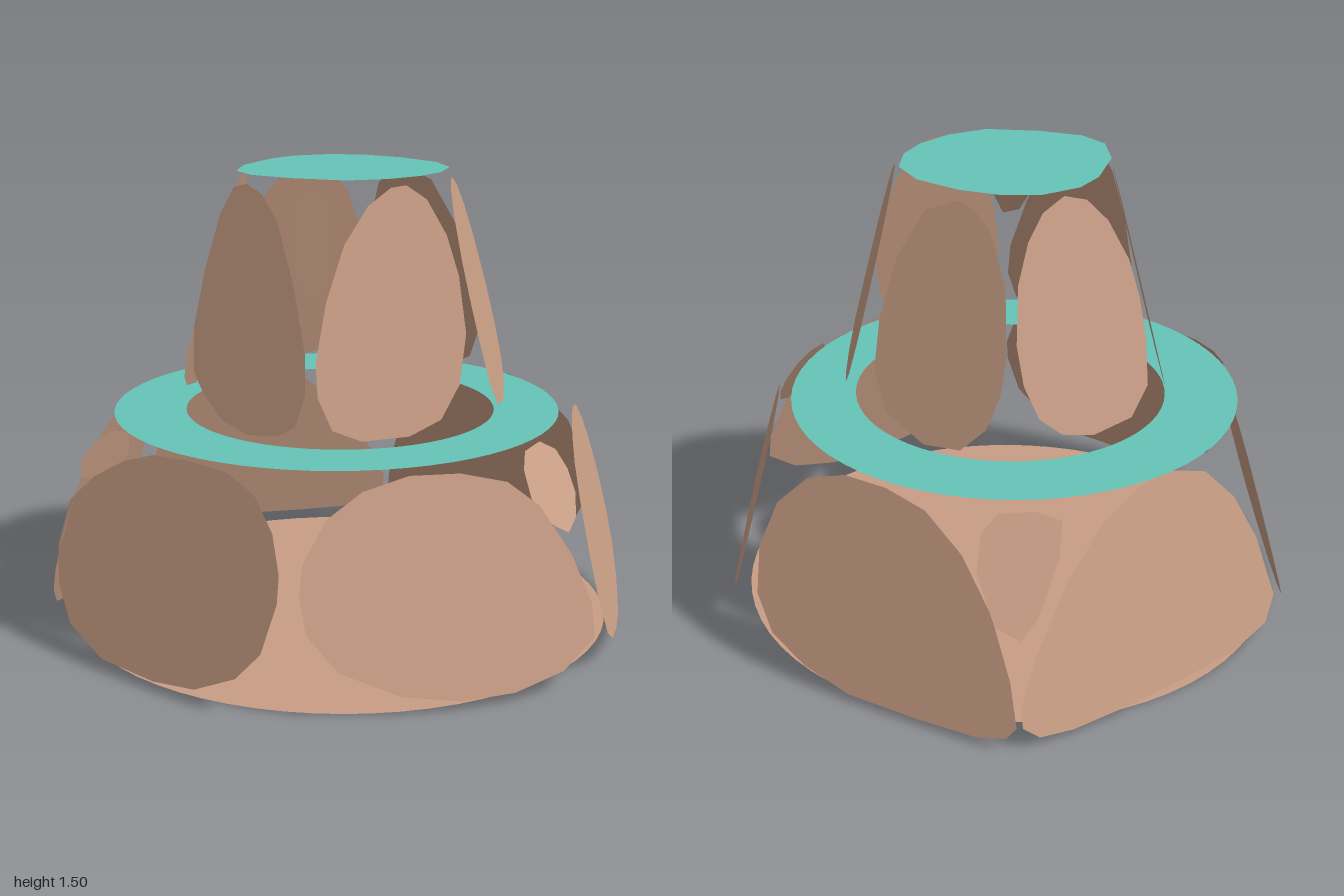
import * as THREE from 'three';

const tan = new THREE.MeshStandardMaterial({ color: 0xc99e85, side: THREE.DoubleSide });
const teal = new THREE.MeshStandardMaterial({ color: 0x66c5b8, side: THREE.DoubleSide });

const toPoints = (list) => {
  const points = [];
  for (let i = 0; i < list.length; i += 2) points.push(new THREE.Vector2(list[i], list[i + 1]));
  return points;
};

// Flat leaning sheet on the plane nx*x + nz*z = foot - lean*y.
// The outline gives (x, y) pairs when axis is 'x', (z, y) pairs when axis is 'z'.
function sheet(name, axis, [nx, nz], foot, lean, outline) {
  const geometry = new THREE.ShapeGeometry(new THREE.Shape(toPoints(outline)));
  const pos = geometry.attributes.position;
  for (let i = 0; i < pos.count; i++) {
    const u = pos.getX(i), y = pos.getY(i), reach = foot - lean * y;
    if (axis === 'x') pos.setXYZ(i, u, y, (reach - nx * u) / nz);
    else pos.setXYZ(i, (reach - nz * u) / nx, y, u);
  }
  // keep the face turned outward
  if (axis === 'x' ? nz < 0 : nx > 0) geometry.index.array.reverse();
  geometry.computeVertexNormals();
  const mesh = new THREE.Mesh(geometry, tan);
  mesh.name = name;
  return mesh;
}

// Flat horizontal sheet, shape y becoming -z
function level(name, shape, y, material, up = true) {
  const geometry = new THREE.ShapeGeometry(shape, 32);
  geometry.rotateX(-Math.PI / 2);
  if (!up) {
    geometry.index.array.reverse();
    geometry.computeVertexNormals();
  }
  const mesh = new THREE.Mesh(geometry, material);
  mesh.name = name;
  mesh.position.y = y;
  return mesh;
}

const ellipse = (kind, cx, rx, rz) => new kind().absellipse(cx, 0, rx, rz, 0, Math.PI * 2, false);
const mirrored = (list) => list.map((v, i) => (i % 2 ? v : -v));

// Six directions of the rings
const C = Math.sqrt(3) / 2;
const DIR = {
  Front: [0, 1], Back: [0, -1],
  FrontLeft: [C, 0.5], FrontRight: [-C, 0.5],
  BackLeft: [C, -0.5], BackRight: [-C, -0.5],
};

const lower = {
  Front: [-0.5, 0.33, -0.48, 0.48, -0.39, 0.57, -0.27, 0.64, -0.15, 0.68, 0.01, 0.69, 0.16, 0.685, 0.28, 0.64,
    0.37, 0.55, 0.42, 0.44, 0.43, 0.36, 0.4, 0.21, 0.32, 0.12, 0.17, 0.05, 0, 0.03, -0.23, 0.04, -0.39, 0.11, -0.47, 0.22],
  Back: [-0.53, 0.09, -0.49, 0.22, -0.4, 0.4, -0.28, 0.55, -0.14, 0.65, 0, 0.685, 0.15, 0.69, 0.28, 0.65, 0.38, 0.55,
    0.43, 0.4, 0.42, 0.25, 0.35, 0.14, 0.22, 0.07, 0.05, 0.025, -0.2, 0.02, -0.4, 0.025, -0.5, 0.05],
  FrontLeft: [0.815, 0.28, 0.81, 0.39, 0.78, 0.48, 0.69, 0.595, 0.58, 0.66, 0.445, 0.69, 0.305, 0.68, 0.18, 0.64,
    0.105, 0.56, 0.045, 0.405, 0.02, 0.255, 0.035, 0.155, 0.145, 0.07, 0.295, 0.03, 0.445, 0.03, 0.605, 0.07, 0.755, 0.165],
  FrontRight: [0.855, 0.25, 0.845, 0.38, 0.8, 0.5, 0.72, 0.6, 0.6, 0.67, 0.45, 0.695, 0.3, 0.69, 0.17, 0.66, 0.1, 0.6,
    0.05, 0.47, 0.04, 0.33, 0.05, 0.2, 0.1, 0.12, 0.25, 0.06, 0.45, 0.03, 0.63, 0.045, 0.77, 0.09, 0.83, 0.16],
  BackLeft: [-0.02, 0.27, -0.05, 0.38, -0.1, 0.5, -0.2, 0.61, -0.3, 0.66, -0.41, 0.69, -0.51, 0.695, -0.61, 0.67,
    -0.7, 0.6, -0.77, 0.5, -0.81, 0.38, -0.81, 0.25, -0.76, 0.15, -0.63, 0.07, -0.46, 0.03, -0.3, 0.045, -0.15, 0.08, -0.05, 0.14],
  BackRight: [-0.03, 0.2, -0.04, 0.4, -0.08, 0.55, -0.15, 0.655, -0.25, 0.69, -0.36, 0.675, -0.5, 0.6, -0.65, 0.46,
    -0.8, 0.27, -0.88, 0.14, -0.89, 0.08, -0.85, 0.035, -0.75, 0.02, -0.6, 0.025, -0.4, 0.04, -0.2, 0.07, -0.08, 0.12],
};

const upperBackSide = [-0.025, 1, -0.015, 1.13, -0.02, 1.25, -0.055, 1.38, -0.105, 1.455, -0.17, 1.48, -0.245, 1.445,
  -0.31, 1.37, -0.37, 1.255, -0.42, 1.08, -0.43, 0.955, -0.41, 0.845, -0.355, 0.78, -0.26, 0.75, -0.13, 0.77, -0.055, 0.855];
const upper = {
  Front: [-0.25, 1.02, -0.24, 1.2, -0.21, 1.375, -0.17, 1.46, -0.12, 1.475, -0.05, 1.45, 0.03, 1.375, 0.13, 1.2,
    0.22, 1, 0.245, 0.88, 0.225, 0.785, 0.16, 0.745, 0.04, 0.73, -0.07, 0.755, -0.165, 0.82, -0.22, 0.88],
  Back: [-0.25, 1.05, -0.22, 1.25, -0.15, 1.4, -0.09, 1.455, -0.03, 1.475, 0.08, 1.43, 0.16, 1.28, 0.2, 1.08,
    0.2, 0.92, 0.14, 0.8, 0, 0.73, -0.13, 0.74, -0.21, 0.82, -0.245, 0.93],
  FrontLeft: [0.485, 0.88, 0.47, 0.98, 0.405, 1.155, 0.32, 1.32, 0.23, 1.43, 0.155, 1.48, 0.11, 1.485, 0.06, 1.44,
    0.025, 1.33, 0.015, 1.205, 0.03, 1.03, 0.08, 0.88, 0.155, 0.78, 0.255, 0.74, 0.39, 0.74, 0.465, 0.78],
  FrontRight: mirrored([-0.04, 0.86, -0.02, 1, -0.015, 1.23, -0.03, 1.38, -0.08, 1.45, -0.14, 1.475, -0.22, 1.45,
    -0.29, 1.36, -0.34, 1.25, -0.4, 1.04, -0.43, 0.92, -0.41, 0.83, -0.35, 0.78, -0.22, 0.75, -0.1, 0.785]),
  BackLeft: upperBackSide,
  BackRight: upperBackSide,
};

export function createModel() {
  const model = new THREE.Group();
  model.name = 'paneledTower';

  // Two tiers of leaning wall panels
  for (const [side, normal] of Object.entries(DIR)) {
    const axis = normal[0] === 0 ? 'x' : 'z';
    model.add(sheet('lowerPanel' + side, axis, normal, 0.935, 0.27, lower[side]));
    model.add(sheet('upperPanel' + side, axis, normal, 0.7125, 0.25, upper[side]));
  }

  // Small filler petals between the panels
  model.add(
    sheet('leftPetal', 'z', [1, 0], 1.158, 0.62, [0.09, 0.57, 0.065, 0.645, 0.02, 0.69, -0.07, 0.7, -0.13, 0.665,
      -0.145, 0.605, -0.13, 0.54, -0.08, 0.48, -0.01, 0.45, 0.055, 0.49]),
    sheet('frontRightPetal', 'x', [-0.19, 1], 1.296, 0.8, [-0.505, 0.59, -0.48, 0.65, -0.42, 0.69, -0.34, 0.7,
      -0.295, 0.655, -0.31, 0.59, -0.39, 0.56, -0.47, 0.55]),
    sheet('backRightPetal', 'x', [-0.4, -0.92], 1.186, 0.66, [-0.53, 0.4, -0.54, 0.55, -0.52, 0.64, -0.44, 0.66,
      -0.34, 0.65, -0.31, 0.6, -0.33, 0.5, -0.42, 0.37, -0.5, 0.34]),
    sheet('upperFrontPetal', 'x', [0.1, 1], 0.825, 0.36, [0.05, 1.4, 0.07, 1.46, 0.12, 1.48, 0.17, 1.445,
      0.215, 1.335, 0.23, 1.215, 0.21, 1.15, 0.145, 1.175, 0.075, 1.28]),
  );

  // Floor, middle terrace ring and roof
  model.add(level('floor', ellipse(THREE.Shape, -0.02, 0.9, 0.89), 0, tan, false));
  const ring = ellipse(THREE.Shape, -0.04, 0.74, 0.74);
  ring.holes.push(ellipse(THREE.Path, -0.025, 0.515, 0.51));
  model.add(level('terraceRing', ring, 0.7, teal));
  const roof = [-0.34, 0.02, -0.33, 0.13, -0.26, 0.24, -0.155, 0.3, -0.02, 0.32, 0.14, 0.3, 0.25, 0.225, 0.3, 0.11,
    0.305, 0, 0.27, -0.12, 0.19, -0.23, 0.03, -0.295, -0.12, -0.32, -0.22, -0.28, -0.3, -0.16];
  model.add(level('roof', new THREE.Shape(toPoints(roof)), 1.5, teal));

  return model;
}
